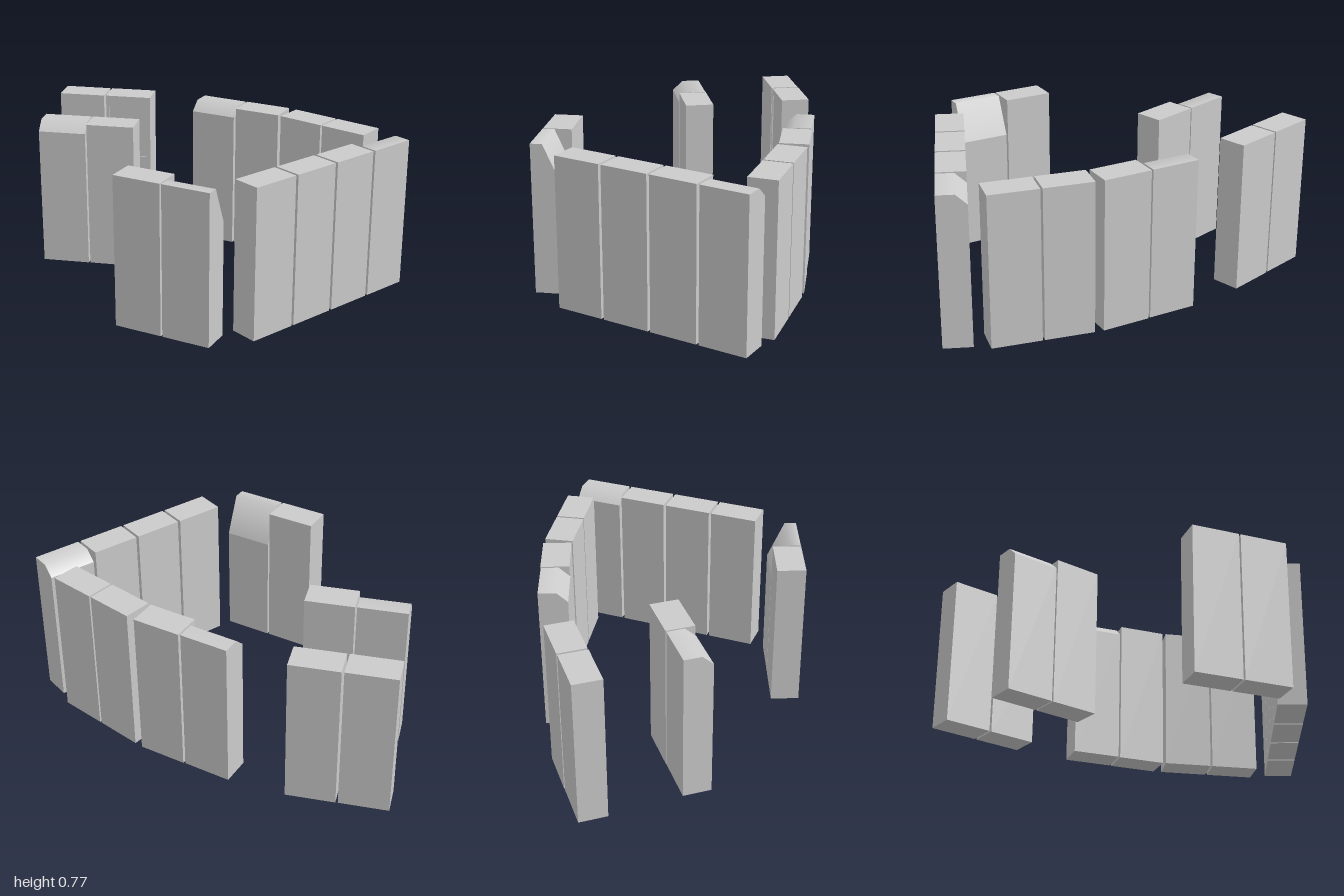
import * as THREE from 'three';
import { mergeVertices } from 'three/addons/utils/BufferGeometryUtils.js';

const W = 0.245, D = 0.144, H = 0.77;
const material = new THREE.MeshStandardMaterial({ color: 0xcccccc });

// Plain upright block standing on y = 0
function plainSlab() {
  return new THREE.BoxGeometry(W, H, D).translate(0, H / 2, 0);
}

// Block whose local +z top edge is cut back by run and drop, softly shaded across the upper seam
function slopedSlab(run, drop) {
  const seam = D / 2 - run;
  const profile = new THREE.Shape([
    new THREE.Vector2(-D / 2, 0), new THREE.Vector2(D / 2, 0),
    new THREE.Vector2(D / 2, H - drop), new THREE.Vector2(seam, H),
    new THREE.Vector2(-D / 2, H),
  ]);
  const geo = new THREE.ExtrudeGeometry(profile, { depth: W, bevelEnabled: false });
  geo.rotateY(-Math.PI / 2).translate(W / 2, 0, 0);
  const p = geo.attributes.position, n = geo.attributes.normal;
  const soft = new THREE.Vector3(0, run, drop).normalize().add(new THREE.Vector3(0, 1, 0)).normalize();
  for (let i = 0; i < p.count; i++) {
    const onSeam = Math.abs(p.getZ(i) - seam) < 1e-4 && Math.abs(p.getY(i) - H) < 1e-4;
    if (onSeam && Math.abs(n.getX(i)) < 0.5) n.setXYZ(i, soft.x, soft.y, soft.z);
  }
  return mergeVertices(geo);
}

// Block with a shallow rectangular recess high on its front face
function panelSlab() {
  const group = new THREE.Group();
  const depth = 0.006;
  const core = new THREE.Mesh(new THREE.BoxGeometry(W, H, D - depth), material);
  core.position.set(0, H / 2, -depth / 2);
  core.name = 'panelCore';
  const rect = (Type, x, y0, y1) => new Type([
    new THREE.Vector2(-x, y0), new THREE.Vector2(x, y0),
    new THREE.Vector2(x, y1), new THREE.Vector2(-x, y1),
  ]);
  const outline = rect(THREE.Shape, W / 2, 0, H);
  outline.holes.push(rect(THREE.Path, W / 2 - 0.015, 0.43, H - 0.03));
  const frame = new THREE.Mesh(new THREE.ExtrudeGeometry(outline, { depth, bevelEnabled: false }), material);
  frame.position.z = D / 2 - depth;
  frame.name = 'panelFrame';
  group.add(core, frame);
  return group;
}

export function createModel() {
  const model = new THREE.Group();
  model.name = 'slabRing';
  const place = (name, kind, x, z, angle) => {
    let part;
    if (kind === 'panel') part = panelSlab();
    else {
      const geo = kind === 'eased' ? slopedSlab(0.055, 0.05)
        : kind === 'steep' ? slopedSlab(0.084, 0.19) : plainSlab();
      part = new THREE.Mesh(geo, material);
    }
    part.name = name;
    part.position.set(x, 0, z);
    part.rotation.y = angle;
    model.add(part);
  };

  // Two slanted pairs on the right
  place('outerRightSlab', 'plain', -0.865, -0.43, 0.295);
  place('outerRightPanelSlab', 'panel', -0.62, -0.506, 0.295);
  place('innerRightEasedSlab', 'eased', -0.687, 0.056, 0.295);
  place('innerRightSlab', 'plain', -0.445, -0.019, 0.295);

  // Curved back row
  place('backEasedSlab', 'eased', -0.115, -0.584, 0);
  place('backSlab1', 'plain', 0.14, -0.587, 0);
  place('backSlab2', 'plain', 0.413, -0.558, -0.19);
  place('backSlab3', 'plain', 0.664, -0.51, -0.19);

  // Long wall on the left, eased towards the inside at its far end
  for (let i = 0; i < 4; i++) {
    const t = i / 3;
    place(`leftWallSlab${i + 1}`, i ? 'plain' : 'eased',
      0.883 - 0.297 * t, -0.364 + 0.717 * t, 1.18 + Math.PI);
  }

  // Front pair, the second with a steep slope facing inwards
  place('frontSlab', 'plain', 0.073, 0.579, 0);
  place('frontSteepSlab', 'steep', 0.327, 0.579, Math.PI);
  return model;
}
